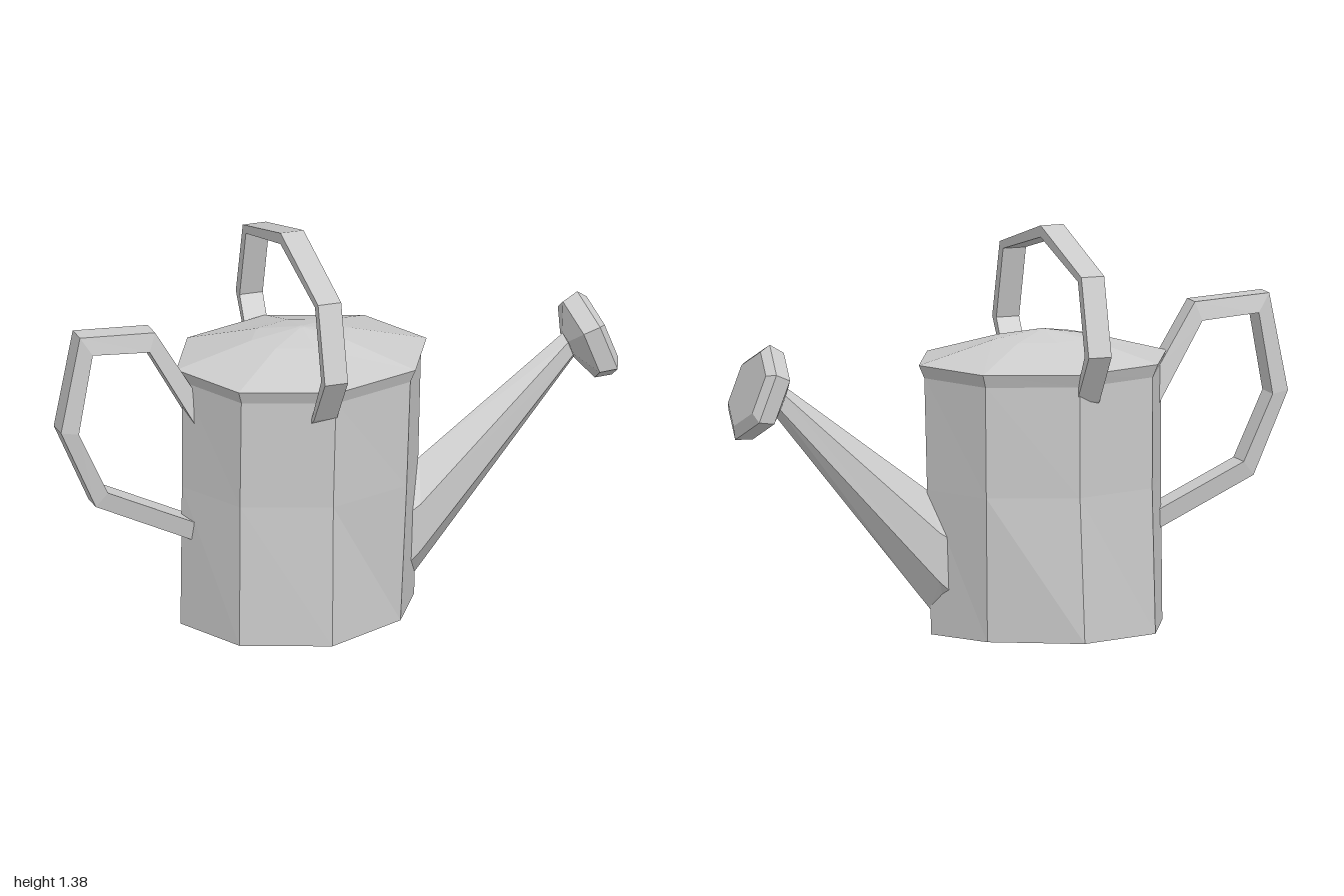
import * as THREE from 'three';

const V = (x, y, z) => new THREE.Vector3(x, y, z);
const material = new THREE.MeshStandardMaterial({ color: 0xcccccc, flatShading: true });

// Skin a closed solid over equal-length cross-section rings, with both ends capped.
function loft(name, rings) {
  const tris = [];
  const n = rings[0].length;
  const middle = (ring) => ring.reduce((s, p) => s.add(p), V(0, 0, 0)).divideScalar(n);
  const first = rings[0], last = rings[rings.length - 1];
  const c0 = middle(first), c1 = middle(last);
  for (let i = 0; i < n; i++) {
    const j = (i + 1) % n;
    tris.push([c0, first[j], first[i]], [c1, last[i], last[j]]);
    for (let k = 0; k + 1 < rings.length; k++) {
      const a = rings[k], b = rings[k + 1];
      tris.push([a[i], a[j], b[j]], [a[i], b[j], b[i]]);
    }
  }
  // Turn every face outward using the sign of the enclosed volume.
  const volume = tris.reduce((s, [a, b, c]) => s + a.dot(b.clone().cross(c)), 0);
  if (volume < 0) tris.forEach((t) => t.reverse());
  const geometry = new THREE.BufferGeometry().setFromPoints(tris.flat());
  geometry.computeVertexNormals();
  const mesh = new THREE.Mesh(geometry, material);
  mesh.name = name;
  return mesh;
}

// Horizontal eight-sided ring; pinch narrows the two corners beside the spout.
function octagon(cx, y, rx, rz, pinch = 1) {
  return Array.from({ length: 8 }, (_, i) => {
    const a = (i * Math.PI) / 4;
    const narrow = i === 1 || i === 7 ? pinch : 1;
    return V(cx + rx * Math.cos(a), y, -0.007 + rz * narrow * Math.sin(a));
  });
}

// Six-sided ring, one corner up, tilted to face along the rose axis.
function hexagon(cx, cy, r) {
  return Array.from({ length: 6 }, (_, i) => {
    const a = (i * Math.PI) / 3;
    return V(cx - 0.364 * r * Math.cos(a), cy + 0.931 * r * Math.cos(a), r * Math.sin(a));
  });
}

// Spout section: ridge at top and bottom, two flat flanks.
function spoutRing([top, upper, lower, bottom], w) {
  return [V(...top, 0), V(...upper, w), V(...lower, w),
    V(...bottom, 0), V(...lower, -w), V(...upper, -w)];
}

export function createModel() {
  const group = new THREE.Group();

  // Tank with a recessed base
  group.add(loft('body', [
    octagon(-0.13, 0.05, 0.38, 0.325, 0.85),
    octagon(-0.135, 0, 0.42, 0.367, 0.83),
    octagon(-0.125, 0.5, 0.425, 0.347, 0.98),
    octagon(-0.12, 0.89, 0.43, 0.36),
  ]));

  // Overhanging lid
  group.add(loft('lid', [
    octagon(-0.12, 0.885, 0.43, 0.362),
    octagon(-0.12, 0.93, 0.45, 0.38),
    octagon(-0.12, 1.003, 0.18, 0.14),
    octagon(-0.12, 1.03, 0.01, 0.01),
  ]));

  // Carrying handle arched over the lid: outer and inner [z, y] outlines
  const half = [
    [[0.35, 0.83], [0.31, 0.8]],
    [[0.465, 1.0], [0.425, 1.0]],
    [[0.393, 1.268], [0.36, 1.248]],
  ];
  const mirrored = half.map((pair) => pair.map(([z, y]) => [-z, y])).reverse();
  const arch = [...half, [[0, 1.385], [0, 1.345]], ...mirrored];
  group.add(loft('topHandle', arch.map(([[zo, yo], [zi, yi]]) => [
    V(-0.198, yo, zo), V(-0.115, yo, zo), V(-0.115, yi, zi), V(-0.198, yi, zi),
  ])));

  // Rear grip: outer and inner [x, y] outlines, narrower on the outside
  const grip = [
    [[-0.525, 0.87], [-0.525, 0.75]],
    [[-0.662, 1.095], [-0.685, 1.03]],
    [[-0.932, 1.11], [-0.89, 1.045]],
    [[-1.0, 0.77], [-0.94, 0.762]],
    [[-0.875, 0.485], [-0.835, 0.535]],
    [[-0.525, 0.318], [-0.525, 0.388]],
  ];
  group.add(loft('rearHandle', grip.map(([[xo, yo], [xi, yi]]) => [
    V(xo, yo, 0.038), V(xo, yo, -0.038), V(xi, yi, -0.05), V(xi, yi, 0.05),
  ])));

  // Tapered spout, its root sunk into the tank
  group.add(loft('spout', [
    spoutRing([[0.2, 0.44], [0.2, 0.31], [0.2, 0.12], [0.22, 0.04]], 0.082),
    spoutRing([[0.3, 0.5], [0.28, 0.36], [0.28, 0.19], [0.285, 0.085]], 0.078),
    spoutRing([[0.82, 0.89], [0.835, 0.87], [0.85, 0.82], [0.86, 0.8]], 0.028),
  ]));

  // Sprinkler rose
  group.add(loft('rose', [
    hexagon(0.832, 0.848, 0.05),
    hexagon(0.875, 0.856, 0.157),
    hexagon(0.932, 0.873, 0.172),
    hexagon(0.952, 0.885, 0.135),
  ]));

  return group;
}
